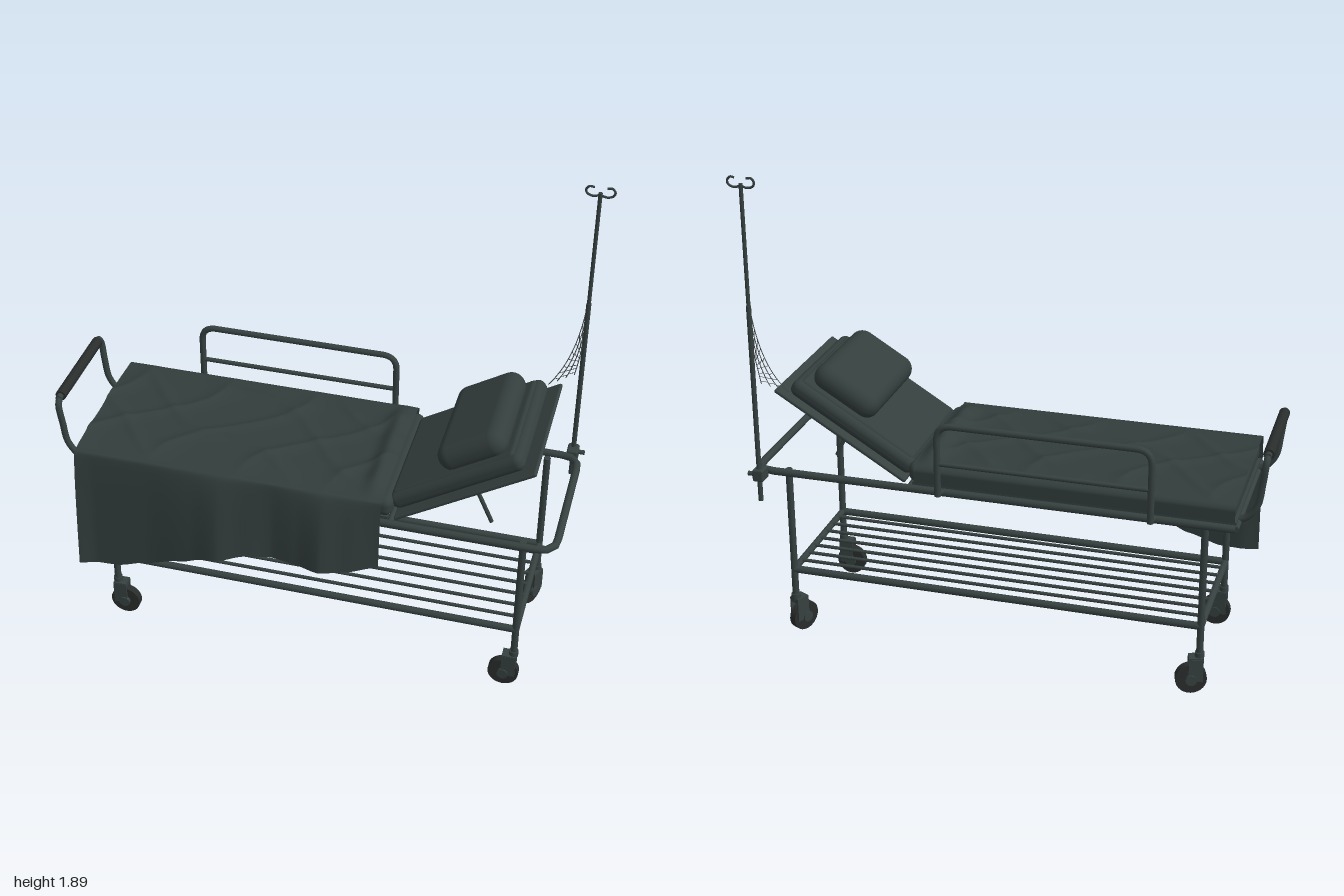
import * as THREE from 'three';
import { RoundedBoxGeometry } from 'three/addons/geometries/RoundedBoxGeometry.js';

const mat = (name, color, side = THREE.FrontSide) => {
  const m = new THREE.MeshStandardMaterial({ color, side });
  m.name = name;
  return m;
};
const V = (x, y, z) => new THREE.Vector3(x, y, z);

export function createModel() {
  const steel = mat('dark steel', 0x364140);
  const padding = mat('padding', 0x333e3d);
  const cloth = mat('blanket cloth', 0x323d3c, THREE.DoubleSide);
  const rubber = mat('rubber', 0x292d2c);
  const thread = mat('cobweb thread', 0x4a504e);
  const root = new THREE.Group();
  root.name = 'hospitalTrolley';
  const ZF = 0.275, ZB = -0.315, ZC = -0.02; // frame rails and centre line

  const add = (name, geo, material, parent = root, x = 0, y = 0, z = 0) => {
    const m = new THREE.Mesh(geo, material);
    m.name = name;
    m.position.set(x, y, z);
    parent.add(m);
    return m;
  };
  // Straight round bar between two points
  const bar = (name, a, b, r, material = steel, parent = root, sides = 12) => {
    const m = add(name, new THREE.CylinderGeometry(r, r, a.distanceTo(b), sides), material, parent);
    m.position.copy(a).add(b).multiplyScalar(0.5);
    m.quaternion.setFromUnitVectors(V(0, 1, 0), b.clone().sub(a).normalize());
    return m;
  };
  // Bent tube with rounded corners of radius c
  const bent = (name, pts, r, c) => {
    const path = new THREE.CurvePath();
    let last = pts[0];
    for (let i = 1; i < pts.length - 1; i++) {
      const p = pts[i];
      const into = p.clone().add(pts[i - 1].clone().sub(p).setLength(c));
      const out = p.clone().add(pts[i + 1].clone().sub(p).setLength(c));
      path.add(new THREE.LineCurve3(last, into));
      path.add(new THREE.QuadraticBezierCurve3(into, p, out));
      last = out;
    }
    path.add(new THREE.LineCurve3(last, pts[pts.length - 1]));
    return add(name, new THREE.TubeGeometry(path, 100, r, 10), steel);
  };

  // Upper frame: a U of tube, closed at the foot end
  bent('upperFrame', [V(-0.89, 0.717, ZF), V(0.97, 0.717, ZF), V(0.97, 0.717, ZB), V(-0.89, 0.717, ZB)], 0.015, 0.07);
  for (const x of [-0.89, -0.58, -0.28, 0.03, 0.35])
    bar('frameCrossbar', V(x, 0.717, ZF), V(x, 0.717, ZB), 0.012);
  add('deck', new THREE.BoxGeometry(1.23, 0.012, 0.57), steel, root, -0.275, 0.733, ZC);

  // Legs, lower rails and rack
  const legX = [-0.775, 0.85], legZ = [0.245, -0.28];
  for (const x of legX) {
    for (const z of legZ) bar('leg', V(x, 0.14, z), V(x, 0.717, z), 0.0135);
    bar('rackEnd', V(x, 0.28, legZ[0]), V(x, 0.28, legZ[1]), 0.0135);
  }
  for (const z of legZ) bar('lowerRail', V(legX[0], 0.28, z), V(legX[1], 0.28, z), 0.0145);
  for (let i = 1; i < 8; i++) {
    const z = THREE.MathUtils.lerp(legZ[0], legZ[1], i / 8);
    bar('rackRod', V(legX[0], 0.287, z), V(legX[1], 0.287, z), 0.007, steel, root, 8);
  }

  // Swivel casters
  const caster = (x, z, turn) => {
    const g = new THREE.Group();
    g.name = 'caster';
    g.position.set(x, 0, z);
    g.rotation.y = turn;
    root.add(g);
    const wx = x < 0 ? 0.03 : -0.035;
    add('wheel', new THREE.CylinderGeometry(0.06, 0.06, 0.03, 28), rubber, g, wx, 0.06, 0).rotation.x = Math.PI / 2;
    add('hub', new THREE.CylinderGeometry(0.022, 0.022, 0.058, 14), steel, g, wx, 0.06, 0).rotation.x = Math.PI / 2;
    for (const s of [-1, 1])
      add('forkSide', new THREE.BoxGeometry(0.055, 0.095, 0.006), steel, g, wx * 0.45, 0.1, s * 0.021);
    add('forkTop', new THREE.BoxGeometry(0.055, 0.02, 0.046), steel, g, wx * 0.45, 0.142, 0);
    add('swivel', new THREE.CylinderGeometry(0.018, 0.018, 0.025, 14), steel, g, 0, 0.158, 0);
  };
  caster(legX[0], legZ[0], 0);
  caster(legX[1], legZ[0], 0);
  caster(legX[0], legZ[1], 0.3);
  caster(legX[1], legZ[1], 1.1);

  // Push handle at the foot end
  for (const z of [-0.245, 0.205])
    add('handleTube', new THREE.TubeGeometry(new THREE.CatmullRomCurve3([
      V(-0.87, 0.717, z), V(-0.92, 0.74, z), V(-0.955, 0.79, z), V(-0.968, 0.87, z),
      V(-0.978, 0.96, z), V(-0.98, 0.98, z * 0.9 - 0.002)]), 30, 0.013, 10), steel);
  bar('handleBar', V(-0.98, 0.98, -0.235), V(-0.98, 0.98, 0.195), 0.013);
  bar('handleGrip', V(-0.98, 0.98, -0.215), V(-0.98, 0.98, 0.175), 0.021, rubber);

  // Guard rail on the far side
  const gz = -0.375;
  bent('guardRail', [V(-0.59, 0.73, gz), V(-0.59, 1.017, gz), V(0.215, 1.017, gz), V(0.215, 0.73, gz)], 0.0125, 0.06);
  bar('guardMiddle', V(-0.59, 0.862, gz), V(0.215, 0.862, gz), 0.009);
  for (const x of [-0.59, 0.215]) bar('guardBracket', V(x, 0.74, gz), V(x, 0.72, ZB), 0.012);

  // Mattress
  add('mattress', new RoundedBoxGeometry(1.24, 0.08, 0.59, 4, 0.03), padding, root, -0.265, 0.778, ZC);

  // Raised backrest with its pad, piping and pillow
  const back = new THREE.Group();
  back.name = 'backrest';
  back.position.set(0.37, 0.732, ZC);
  back.rotation.z = 0.55;
  root.add(back);
  add('backBoard', new RoundedBoxGeometry(0.6, 0.016, 0.585, 2, 0.007), steel, back, 0.3, 0.008, 0);
  add('backPad', new RoundedBoxGeometry(0.56, 0.07, 0.53, 5, 0.03), padding, back, 0.28, 0.05, -0.005);
  add('backPadTop', new RoundedBoxGeometry(0.52, 0.04, 0.49, 4, 0.018), padding, back, 0.28, 0.073, -0.005);
  add('pillow', new RoundedBoxGeometry(0.28, 0.11, 0.465, 7, 0.053), padding, back, 0.378, 0.127, -0.002);
  for (const z of [0.165, -0.165]) bar('backStrut', V(0.64, 0.885, z + (z < 0 ? 0.05 : 0)), V(0.715, 0.72, z + (z < 0 ? 0.05 : 0)), 0.008);

  // Blanket: wrinkled top, tucked far edge, long drape on the near side
  const lerpTable = (t, x) => {
    for (let i = 1; i < t.length; i++) if (x <= t[i][0]) {
      const k = (x - t[i - 1][0]) / (t[i][0] - t[i - 1][0]);
      return THREE.MathUtils.lerp(t[i - 1][1], t[i][1], k * k * (3 - 2 * k) * 0.5 + k * 0.5);
    }
    return t[t.length - 1][1];
  };
  const hemY = [[-0.9, 0.3], [-0.74, 0.306], [-0.61, 0.345], [-0.47, 0.4], [-0.34, 0.455], [-0.2, 0.487], [0.01, 0.488], [0.17, 0.5], [0.33, 0.53]];
  const hemZ = [[-0.9, 0.35], [-0.82, 0.328], [-0.6, 0.326], [-0.42, 0.35], [-0.31, 0.375], [-0.2, 0.345], [-0.1, 0.322], [0, 0.34], [0.1, 0.373], [0.2, 0.35], [0.33, 0.315]];
  const ridge = (a) => Math.pow(1 - Math.abs(Math.sin(a)), 3);
  const blanket = new THREE.PlaneGeometry(1, 1, 110, 90);
  const pos = blanket.attributes.position;
  for (let i = 0; i < pos.count; i++) {
    const x = -0.89 + (pos.getX(i) + 0.5) * 1.21, v = 0.5 - pos.getY(i);
    let y, z;
    if (v < 0.06) {
      z = -0.343;
      y = THREE.MathUtils.lerp(0.755, 0.815, v / 0.06);
    } else if (v < 0.6) {
      const k = (v - 0.06) / 0.54;
      z = THREE.MathUtils.lerp(-0.338, 0.285, k);
      const edge = Math.min(1, 5 * k, 5 * (1 - k));
      y = 0.82 + edge * (0.006 + 0.011 * ridge(9 * x + 8 * z + 0.6 * Math.sin(11 * z))
        + 0.01 * ridge(7 * x - 10 * z + 0.7 * Math.sin(9 * x)));
      y += 0.03 * edge * Math.exp(-(((x - 0.275) / 0.035) ** 2));
    } else {
      const k = (v - 0.6) / 0.4;
      z = THREE.MathUtils.lerp(0.292, lerpTable(hemZ, x), Math.pow(k, 0.6));
      y = THREE.MathUtils.lerp(0.822, lerpTable(hemY, x), k);
    }
    pos.setXYZ(i, x, y, z);
  }
  blanket.computeVertexNormals();
  add('blanket', blanket, cloth);

  // Drip stand with clamp and two curled hooks
  const px = 0.94, pz = -0.355;
  bar('dripPole', V(px, 0.605, pz), V(px, 1.4, pz), 0.0095);
  bar('dripPoleUpper', V(px, 1.4, pz), V(px, 1.865, pz), 0.0075);
  add('poleClamp', new RoundedBoxGeometry(0.045, 0.05, 0.06, 2, 0.008), steel, root, px, 0.715, -0.345);
  bar('clampKnob', V(px, 0.715, pz), V(0.985, 0.715, pz), 0.009);
  for (const s of [-1, 1])
    add('dripHook', new THREE.TubeGeometry(new THREE.CatmullRomCurve3([
      V(px, 1.857, pz), V(px + s * 0.025, 1.85, pz), V(px + s * 0.047, 1.858, pz),
      V(px + s * 0.052, 1.873, pz), V(px + s * 0.04, 1.887, pz), V(px + s * 0.022, 1.885, pz)]), 28, 0.0045, 8), steel);

  // Cobweb stretched between the pole and the backrest corner
  const web = new THREE.Group();
  web.name = 'cobweb';
  root.add(web);
  const strands = [0, 1, 2, 3].map((i) => new THREE.QuadraticBezierCurve3(
    V(px - 0.004, 1.4 - 0.05 * i, pz), V(0.918 + 0.004 * i, 1.16, -0.34),
    V(0.825 + 0.03 * i, 1.05 + 0.012 * i, -0.3 - 0.013 * i)));
  for (const c of strands) add('webStrand', new THREE.TubeGeometry(c, 16, 0.0018, 4), thread, web);
  for (let j = 1; j < 10; j++)
    for (let i = 0; i < 3; i++)
      bar('webLink', strands[i].getPoint(j / 10), strands[i + 1].getPoint(j / 10 + 0.03 * (j % 2)), 0.0013, thread, web, 4);

  return root;
}
